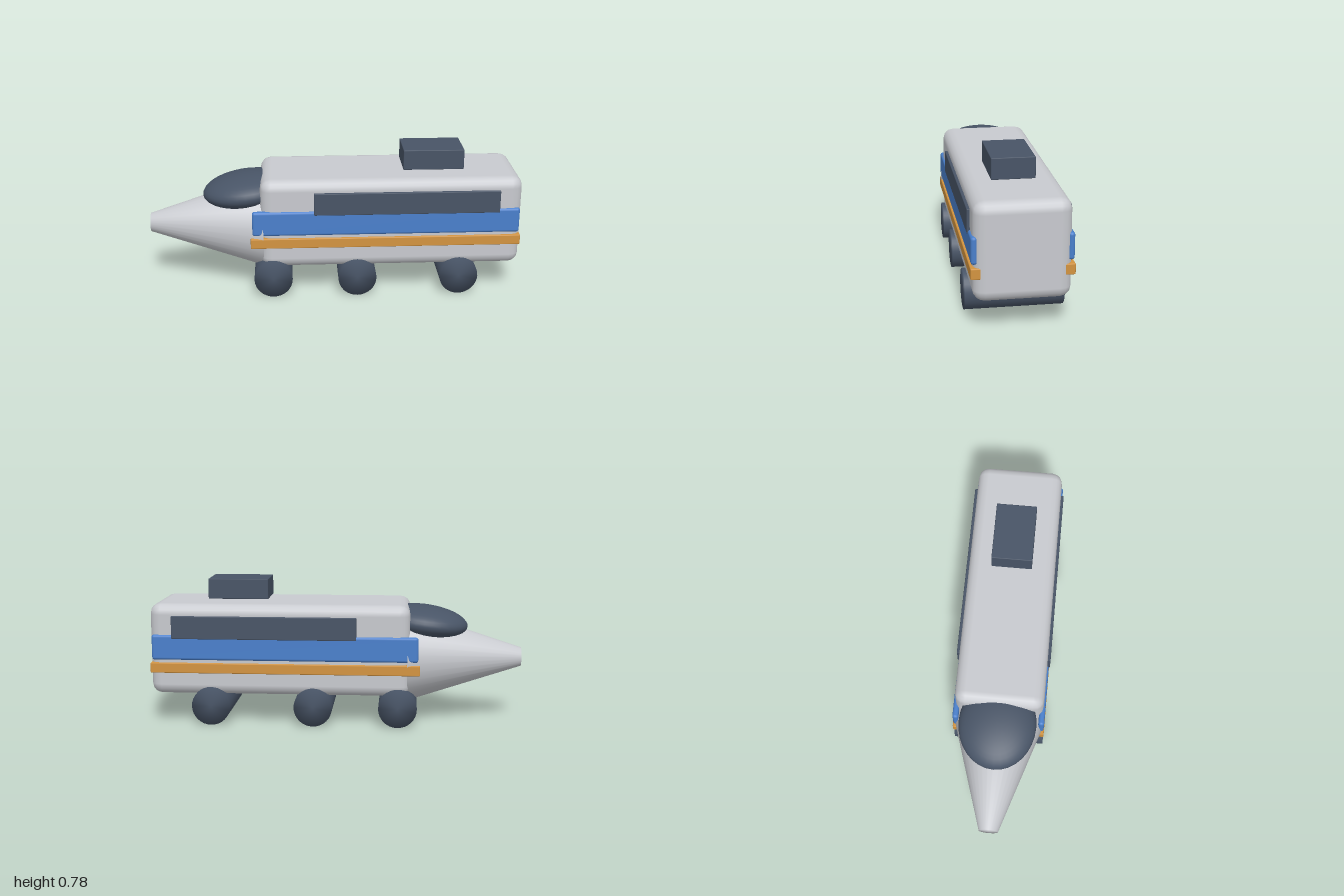
import * as THREE from 'three';
import { RoundedBoxGeometry } from 'three/addons/geometries/RoundedBoxGeometry.js';
import { mergeVertices } from 'three/addons/utils/BufferGeometryUtils.js';

const material = (name, color) => {
  const m = new THREE.MeshStandardMaterial({ color });
  m.name = name;
  return m;
};

// Share vertices between sides and caps so the shading rolls over the rims
function softened(geometry) {
  geometry.deleteAttribute('normal');
  geometry.deleteAttribute('uv');
  const g = mergeVertices(geometry);
  g.computeVertexNormals();
  return g;
}

// Rounded box given by its extents on each axis
function block([x0, x1], [y0, y1], [z0, z1], radius, segments = 2) {
  const g = new RoundedBoxGeometry(x1 - x0, y1 - y0, z1 - z0, segments, radius);
  return g.translate((x0 + x1) / 2, (y0 + y1) / 2, (z0 + z1) / 2);
}

export function createModel() {
  const group = new THREE.Group();
  const hull = material('light grey', 0xc8cacf);
  const dark = material('slate', 0x485466);
  const blue = material('blue', 0x4a80cc);
  const orange = material('orange', 0xd39440);

  const add = (name, geometry, mat) => {
    const mesh = new THREE.Mesh(geometry, mat);
    mesh.name = name;
    group.add(mesh);
    return mesh;
  };

  // Main body and tapered nose
  add('body', block([-0.397, 0.998], [0.16, 0.654], [-0.235, 0.235], 0.058), hull);
  const nose = new THREE.CylinderGeometry(0.051, 0.25, 0.618, 32);
  add('nose', softened(nose).rotateZ(Math.PI / 2).translate(-0.691, 0.349, 0), hull);

  // Cockpit canopy, tipped slightly forward
  const canopy = add('canopy', new THREE.SphereGeometry(1, 32, 20), dark);
  canopy.scale.set(0.24, 0.09, 0.204);
  canopy.rotation.z = 0.12;
  canopy.position.set(-0.47, 0.54, 0);

  // Roof unit
  add('roofUnit', block([0.37, 0.695], [0.667, 0.776], [-0.109, 0.109], 0.004, 1), dark);

  // Side strips, mirrored front to back
  for (const side of [1, -1]) {
    const z = (a, b) => (side > 0 ? [a, b] : [-b, -a]);
    add('windowStrip', block([-0.112, 0.875], [0.469, 0.591], z(0.21, 0.25), 0.004, 1), dark);
    add('blueStripe', block([-0.44, 0.985], [0.353, 0.489], z(0.213, 0.245), 0.014), blue);
    add('orangeRail', block([-0.45, 0.993], [0.283, 0.338], z(0.197, 0.248), 0.005, 1), orange);
  }

  // Full-width rollers
  for (const x of [-0.333, 0.12, 0.67]) {
    const roller = softened(new THREE.CylinderGeometry(0.103, 0.103, 0.496, 32));
    add('roller', roller.rotateX(Math.PI / 2).translate(x, 0.103, 0), dark);
  }
  return group;
}
